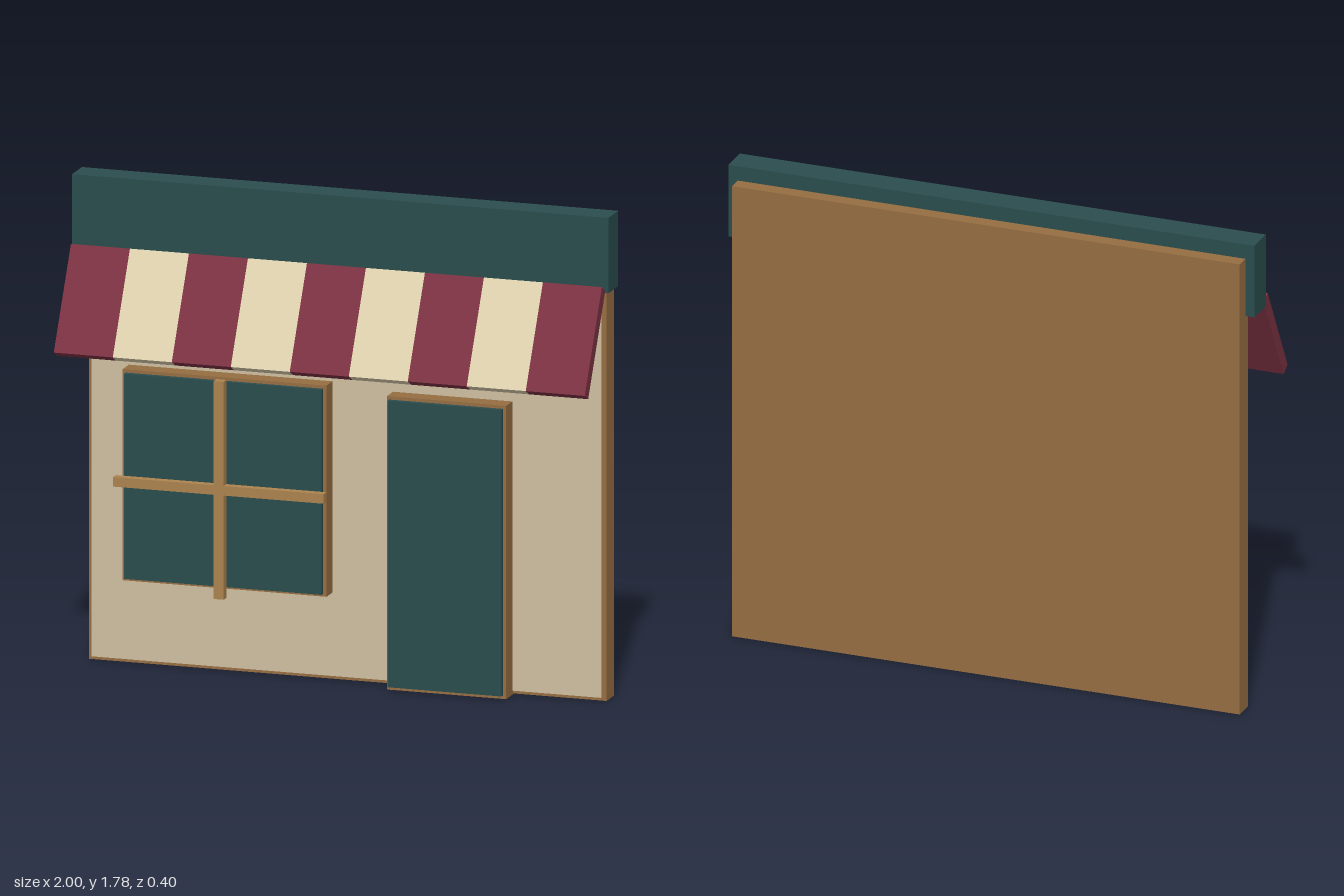
import * as THREE from 'three';

const material = (color) => new THREE.MeshStandardMaterial({ color });

export function createModel() {
  const shop = new THREE.Group();
  shop.name = 'shopFront';

  const wood = material(0x966e42);
  const lightWood = material(0xad8450);
  const plaster = material(0xcfc0a2);
  const teal = material(0x2b4d4e);
  const maroon = material(0x7c3242);
  const cream = material(0xdfd1af);

  // Box given by its extents along each axis
  function box(name, mat, [x0, x1], [y0, y1], [z0, z1], parent = shop) {
    const mesh = new THREE.Mesh(new THREE.BoxGeometry(x1 - x0, y1 - y0, z1 - z0), mat);
    mesh.position.set((x0 + x1) / 2, (y0 + y1) / 2, (z0 + z1) / 2);
    mesh.name = name;
    parent.add(mesh);
    return mesh;
  }

  // Wall: wooden back board with a plaster facing
  box('backWall', wood, [-0.965, 0.965], [0, 1.73], [-0.2, -0.12]);
  box('wallFacing', plaster, [-0.95, 0.95], [0.015, 1.71], [-0.114, -0.1]);

  // Sign board across the top
  box('signBoard', teal, [-1, 1], [1.51, 1.785], [-0.145, -0.035]);

  // Window: frame, pane and cross bars
  const shopWindow = new THREE.Group();
  shopWindow.name = 'window';
  shop.add(shopWindow);
  box('windowFrame', wood, [-0.81, -0.05], [0.32, 1.09], [-0.1, -0.032], shopWindow);
  box('windowPane', teal, [-0.797, -0.06], [0.332, 1.08], [-0.025, -0.007], shopWindow);
  box('verticalBar', lightWood, [-0.45, -0.413], [0.295, 1.09], [0, 0.03], shopWindow);
  box('horizontalBar', lightWood, [-0.825, -0.04], [0.675, 0.71], [0, 0.03], shopWindow);

  // Door: frame and leaf
  const door = new THREE.Group();
  door.name = 'door';
  shop.add(door);
  box('doorFrame', wood, [0.175, 0.62], [0, 1.07], [-0.105, -0.032], door);
  box('doorLeaf', teal, [0.185, 0.61], [0.015, 1.06], [-0.025, -0.007], door);

  // Sloping awning of nine alternating stripes
  const awning = new THREE.Group();
  awning.name = 'awning';
  awning.position.set(0, 1.356, 0.084);
  awning.rotation.x = -0.5;
  shop.add(awning);
  const stripes = 9, width = 0.22;
  for (let i = 0; i < stripes; i++) {
    const x = (i - stripes / 2) * width;
    box('awningStripe', i % 2 ? cream : maroon, [x, x + width], [-0.2, 0.2], [-0.022, 0.022], awning);
  }

  return shop;
}
